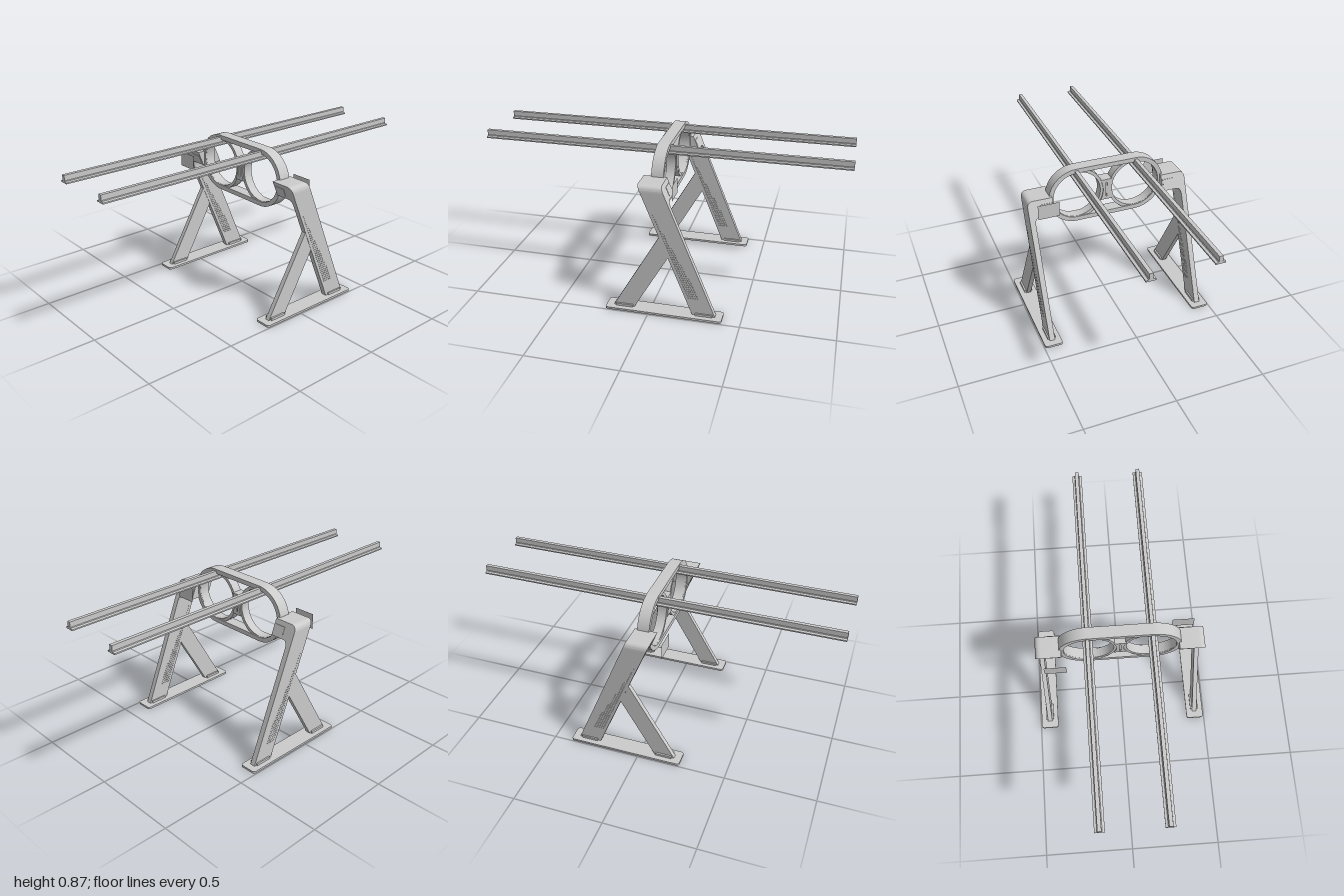
import * as THREE from 'three';
import { toCreasedNormals } from 'three/addons/utils/BufferGeometryUtils.js';

const grey = new THREE.MeshStandardMaterial({ color: 0xcccccc });
const greyThin = new THREE.MeshStandardMaterial({ color: 0xcccccc, side: THREE.DoubleSide });
const SLOPE = 0.41, TOP = 0.735, LEG_W = 0.125;
const RING_X = 0.015, RING_Y = 0.705, RING_Z = 0.17;

// left edge of the leaning leg at height y
const legX = (y) => -0.06 + (TOP - y) * SLOPE;

function mesh(name, geometry, material = grey) {
  const m = new THREE.Mesh(geometry, material);
  m.name = name;
  return m;
}

const polygon = (points) => new THREE.Shape(points.map(([a, b]) => new THREE.Vector2(a, b)));

// extrude an (x, y) outline, centred on z
function extrudeZ(shape, z, depth, curveSegments = 12) {
  const g = new THREE.ExtrudeGeometry(shape, { depth, bevelEnabled: false, curveSegments });
  g.translate(0, 0, z - depth / 2);
  return toCreasedNormals(g, 0.5);
}

// extrude a (z, y) outline from x0 to x1, optionally leaning with the leg
function extrudeX(shape, x0, x1, lean = false, curveSegments = 24) {
  const g = new THREE.ExtrudeGeometry(shape, { depth: x1 - x0, bevelEnabled: false, curveSegments });
  g.rotateY(-Math.PI / 2).translate(x1, 0, 0);
  if (lean) {
    const p = g.attributes.position;
    for (let i = 0; i < p.count; i++) p.setX(i, p.getX(i) + legX(p.getY(i)));
    g.computeVertexNormals();
  }
  return toCreasedNormals(g, 0.5);
}

function roundedRect(w, h, r) {
  const s = new THREE.Shape();
  s.absarc(w / 2 - r, h / 2 - r, r, 0, Math.PI / 2);
  s.absarc(-w / 2 + r, h / 2 - r, r, Math.PI / 2, Math.PI);
  s.absarc(-w / 2 + r, -h / 2 + r, r, Math.PI, Math.PI * 1.5);
  s.absarc(w / 2 - r, -h / 2 + r, r, Math.PI * 1.5, Math.PI * 2);
  s.closePath();
  return s;
}

function slab(y0, y1) {
  return polygon([[legX(y0), y0], [legX(y0) + LEG_W, y0], [legX(y1) + LEG_W, y1], [legX(y1), y1]]);
}

function createSupport(s) {
  const group = new THREE.Group();
  group.name = s > 0 ? 'frontSupport' : 'backSupport';
  const legZ = s * 0.444;

  // base plate with rounded corners
  const base = new THREE.ExtrudeGeometry(roundedRect(0.64, 0.1, 0.015), { depth: 0.012, bevelEnabled: false });
  base.rotateX(-Math.PI / 2).translate(0.08, 0, s * 0.445);
  group.add(mesh('basePlate', toCreasedNormals(base, 0.5)));

  // leaning leg with a perforated strip
  const leg = slab(0.09, 0.7);
  for (let row = 0; row < 44; row++) {
    const y = 0.112 + row * 0.013;
    for (let col = 0; col < 5; col++) {
      const hole = new THREE.Path();
      hole.absarc(legX(y) + 0.02 + col * 0.0125, y, 0.0028, 0, Math.PI * 2, true);
      leg.holes.push(hole);
    }
  }
  group.add(mesh('mainLeg', extrudeZ(leg, legZ, 0.03, 3)));
  group.add(mesh('mainLegFoot', extrudeZ(slab(0.012, 0.09), legZ, 0.03)));

  // brace leg
  const brace = polygon([[-0.2, 0.012], [-0.085, 0.012], [0.104, 0.34], [0.056, 0.455]]);
  group.add(mesh('braceLeg', extrudeZ(brace, legZ, 0.026)));

  // low collars where the legs meet the base
  for (const x of [-0.14, 0.3]) {
    const collar = new THREE.BoxGeometry(0.095, 0.014, 0.046);
    collar.translate(x, 0.018, legZ);
    group.add(mesh('footCollar', collar));
  }

  // bent arm carrying the ring frame
  const arm = new THREE.Shape();
  arm.moveTo(s * 0.459, 0.7);
  arm.quadraticCurveTo(s * 0.459, TOP, s * 0.424, TOP);
  arm.lineTo(s * 0.318, TOP);
  arm.lineTo(s * 0.318, 0.65);
  arm.lineTo(s * 0.4, 0.65);
  arm.quadraticCurveTo(s * 0.429, 0.65, s * 0.429, 0.61);
  arm.lineTo(s * 0.429, 0.7);
  group.add(mesh('arm', extrudeX(arm, 0, LEG_W, true)));

  // shallow panel on both flanks of the arm
  const panel = polygon([[s * 0.325, 0.665], [s * 0.39, 0.665], [s * 0.39, 0.71], [s * 0.325, 0.71]]);
  group.add(mesh('armPanel', extrudeX(panel, -0.002, LEG_W + 0.002, true)));

  // thin sign plate beside the arm
  const plate = new THREE.PlaneGeometry(0.12, 0.085);
  plate.rotateY(s * Math.PI / 2).translate(s * 0.115, 0.6875, s * 0.355);
  group.add(mesh('sidePlate', plate, greyThin));
  return group;
}

function stadium(Path, r) {
  const p = new Path();
  p.absarc(RING_Z, RING_Y, r, -Math.PI / 2, Math.PI / 2);
  p.absarc(-RING_Z, RING_Y, r, Math.PI / 2, Math.PI * 1.5);
  p.closePath();
  return p;
}

function createRingFrame() {
  const group = new THREE.Group();
  group.name = 'ringFrame';

  // outer stadium band
  const band = stadium(THREE.Shape, 0.1625);
  band.holes.push(stadium(THREE.Path, 0.137));
  group.add(mesh('outerBand', extrudeX(band, RING_X - 0.033, RING_X + 0.033)));

  // two inner rings
  for (const s of [1, -1]) {
    const ring = new THREE.Shape().absarc(s * RING_Z, RING_Y, 0.154, 0, Math.PI * 2);
    ring.holes.push(new THREE.Path().absarc(s * RING_Z, RING_Y, 0.136, 0, Math.PI * 2, true));
    group.add(mesh('innerRing', extrudeX(ring, RING_X - 0.026, RING_X + 0.026, false, 48)));
  }

  // waisted connector with a slot
  const link = new THREE.Shape();
  link.moveTo(-0.034, RING_Y - 0.062);
  link.lineTo(0.034, RING_Y - 0.062);
  link.quadraticCurveTo(0.004, RING_Y, 0.034, RING_Y + 0.062);
  link.lineTo(-0.034, RING_Y + 0.062);
  link.quadraticCurveTo(-0.004, RING_Y, -0.034, RING_Y - 0.062);
  const slot = new THREE.Path();
  slot.absarc(0, RING_Y + 0.04, 0.004, 0, Math.PI);
  slot.absarc(0, RING_Y - 0.04, 0.004, Math.PI, Math.PI * 2);
  slot.closePath();
  link.holes.push(slot);
  group.add(mesh('connector', extrudeX(link, RING_X - 0.032, RING_X + 0.032)));
  const core = new THREE.BoxGeometry(0.05, 0.1, 0.012);
  core.translate(RING_X, RING_Y, 0);
  group.add(mesh('connectorCore', core));
  return group;
}

// inverted T rail running along x
function createRail(s) {
  const half = [[0.026, 0.815], [0.026, 0.822], [0.013, 0.825], [0.01, 0.829], [0.01, 0.857]];
  const outline = [...half, ...half.map(([z, y]) => [-z, y]).reverse()];
  const section = polygon(outline.map(([z, y]) => [z + s * 0.172, y]));
  return mesh(s > 0 ? 'frontRail' : 'backRail', extrudeX(section, -1, 1));
}

export function createModel() {
  const model = new THREE.Group();
  model.name = 'railSupportFrame';
  model.add(createRingFrame());
  for (const s of [1, -1]) model.add(createSupport(s), createRail(s));
  return model;
}
